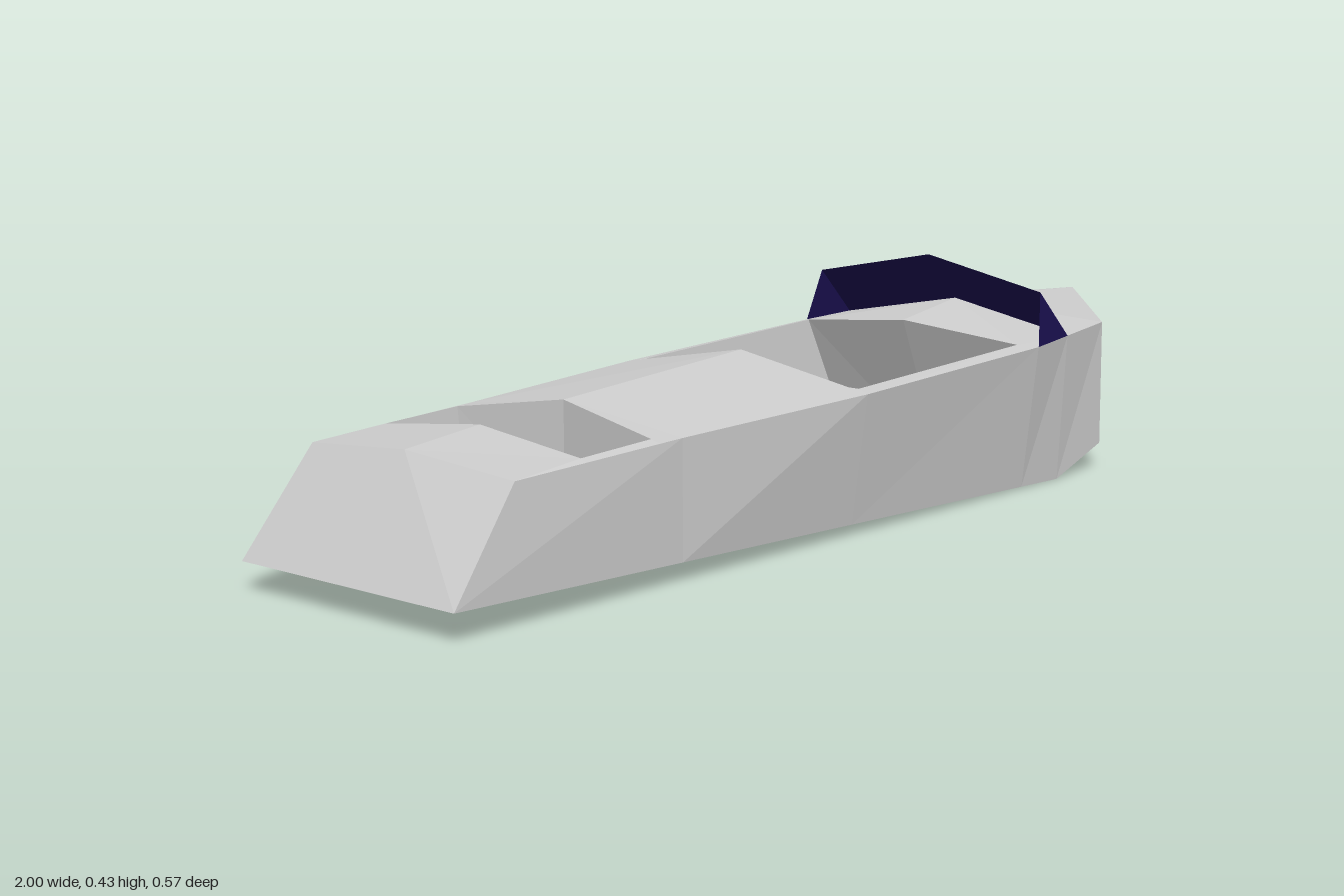
import * as THREE from 'three';

const GREY = 0xcccccc, NAVY = 0x1a1050;

// Builds a flat-shaded mesh from +z half panels, mirroring each across the centreline
function panels(name, polys, color = GREY) {
  const pos = [];
  const tri = (a, b, c) => pos.push(...a, ...b, ...c);
  const flip = ([x, y, z]) => [x, y, -z];
  for (const p of polys) {
    for (let i = 1; i < p.length - 1; i++) {
      tri(p[0], p[i], p[i + 1]);
      tri(flip(p[0]), flip(p[i + 1]), flip(p[i]));
    }
  }
  const geo = new THREE.BufferGeometry();
  geo.setAttribute('position', new THREE.Float32BufferAttribute(pos, 3));
  geo.computeVertexNormals();
  const mat = new THREE.MeshStandardMaterial({ color, flatShading: true, side: THREE.DoubleSide });
  const mesh = new THREE.Mesh(geo, mat);
  mesh.name = name;
  return mesh;
}

const mid = ([x, y]) => [x, y, 0];

// Point at station x along a line of points
function at(line, x) {
  const i = Math.max(1, line.findIndex(p => p[0] >= x));
  const a = line[i - 1], b = line[i];
  const t = (x - a[0]) / (b[0] - a[0]);
  return a.map((v, k) => v + (b[k] - v) * t);
}

// Sunken cockpit: rim corners and centres, floor corners
function well(name, aft, fore, aftMid, foreMid, aftFloor, foreFloor, aftFloorMid, foreFloorMid) {
  return panels(name, [
    [aft, fore, foreFloor, aftFloor],
    [aft, aftFloor, aftFloorMid, aftMid],
    [fore, foreMid, foreFloorMid, foreFloor],
    [aftFloor, foreFloor, foreFloorMid, aftFloorMid],
  ]);
}

export function createModel() {
  const boat = new THREE.Group();
  boat.name = 'boat';

  // Sheer line (deck edge) and chine (bottom edge), stern to bow
  const sheer = [[-0.86, 0.225, 0.237], [-0.5, 0.24, 0.25], [-0.06, 0.257, 0.284],
    [0.46, 0.278, 0.284], [0.73, 0.293, 0.25], [1, 0.315, 0]];
  const chine = [[-1, 0.05, 0.25], [0.58, 0, 0.25], [0.73, 0.05, 0.25], [0.82, 0.105, 0.18]];
  const [s0, s1, s2, s3, s4, bow] = sheer;
  const [k0, k1, k2, k3] = chine;
  const sternMid = [-0.87, 0.245, 0];

  // Hull sides, bow, bottom and transom
  const top = [s0, s1, s2, s3, at(sheer, 0.58), s4];
  const low = [k0, at(chine, -0.5), at(chine, -0.06), at(chine, 0.46), k1, k2];
  const hull = [[k2, k3, bow, s4], [k3, mid(k3), bow], [k0, s0, sternMid, mid(k0)]];
  for (let i = 0; i < 5; i++) hull.push([low[i], low[i + 1], top[i + 1], top[i]]);
  for (let i = 0; i < 3; i++) {
    hull.push([chine[i], mid(chine[i]), mid(chine[i + 1]), chine[i + 1]]);
  }
  boat.add(panels('hull', hull));

  // Cockpit rims
  const a1 = [-0.71, 0.236, 0.228], a2 = [-0.55, 0.243, 0.228];
  const a1m = [-0.71, 0.262, 0], a2m = [-0.52, 0.277, 0];
  const m1 = [-0.05, 0.262, 0.255], m2 = [0.43, 0.283, 0.255];
  const m1m = mid(m1), m2m = [0.41, 0.309, 0];
  const ridge = [-0.07, 0.308, 0], foreMid = [0.58, 0.335, 0];
  const e1 = at(sheer, -0.71), e2 = at(sheer, -0.55), e58 = at(sheer, 0.58);

  // Decks
  boat.add(panels('aftDeck', [
    [a1, a1m, sternMid, s0, e1],
    [e1, e2, a2, a1],
  ]));
  boat.add(panels('middleDeck', [
    [e2, s1, a2m, a2],
    [s1, s2, ridge, a2m],
    [s2, m1, m1m, ridge],
  ]));
  boat.add(panels('sideDecks', [[s2, s3, m2, m1]]));
  boat.add(panels('foreDeck', [
    [m2, s3, e58, foreMid, m2m],
    [e58, s4, foreMid],
    [s4, bow, foreMid],
  ]));

  // Cockpits
  boat.add(well('mainCockpit', m1, m2, m1m, m2m,
    [-0.17, 0.035, 0.225], [0.53, 0.015, 0.225], [-0.17, 0.035, 0], [0.53, 0.015, 0]));
  boat.add(well('aftCockpit', a1, a2, a1m, a2m,
    [-0.71, 0.06, 0.208], [-0.55, 0.06, 0.208], [-0.71, 0.06, 0], [-0.52, 0.06, 0]));

  // Windscreen with side panes
  const t = [0.487, 0.378, 0.267], tm = [0.49, 0.43, 0];
  boat.add(panels('windscreen', [
    [e58, foreMid, tm, t],
    [s3, e58, t],
  ], NAVY));

  return boat;
}
